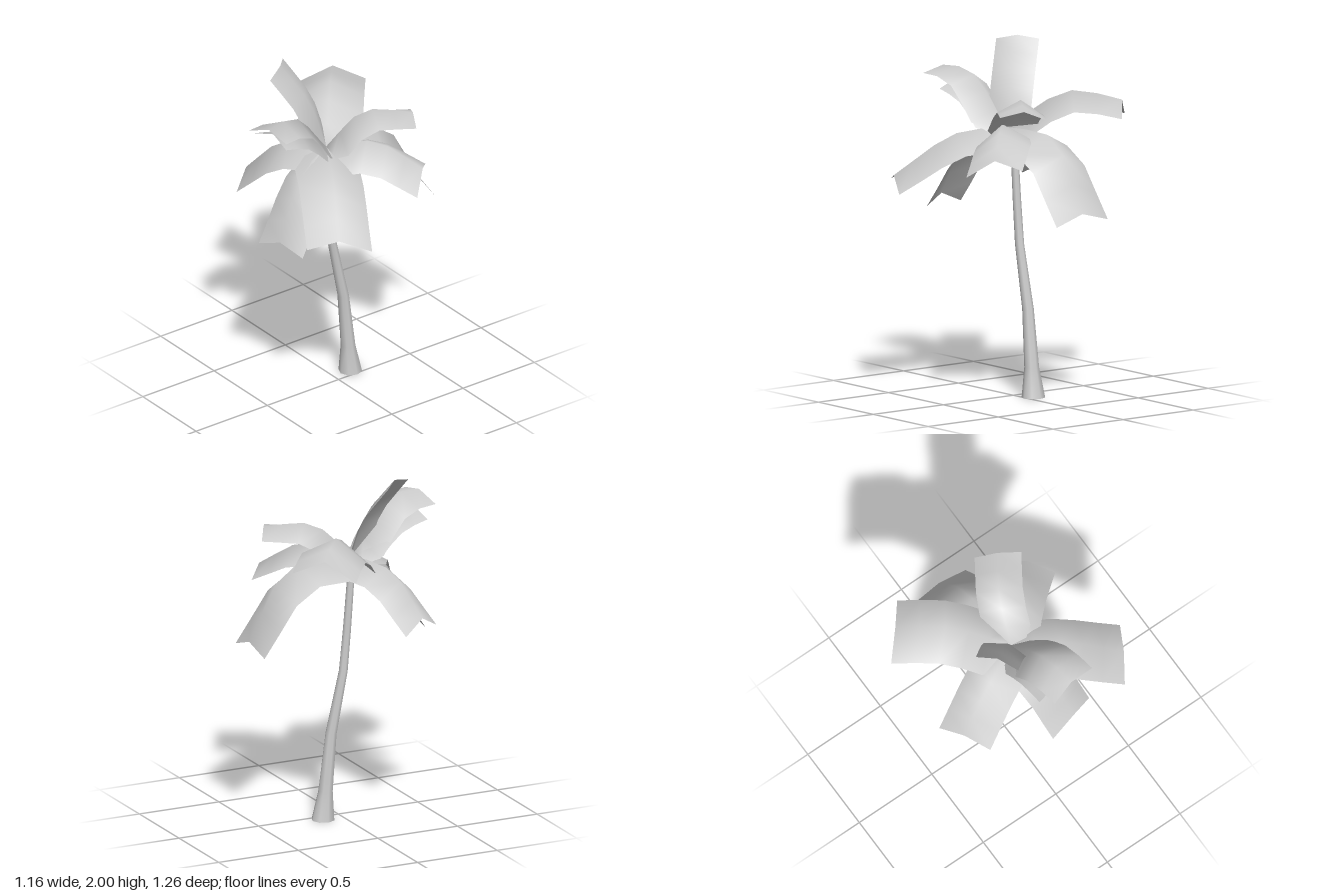
import * as THREE from 'three';
import { mergeVertices } from 'three/addons/utils/BufferGeometryUtils.js';

const grey = new THREE.MeshStandardMaterial({ color: 0xcccccc, side: THREE.DoubleSide });
grey.name = 'light grey';

// Trunk rings from the ground up: [x, y, radius]
const rings = [
  [0.12, 0, 0.067], [0.104, 0.17, 0.042], [0.07, 0.5, 0.033], [-0.007, 0.86, 0.026],
  [-0.03, 1.1, 0.024], [-0.052, 1.38, 0.022], [-0.072, 1.53, 0.02],
];

function makeTrunk() {
  const spans = rings.length - 1;
  let geo = new THREE.CylinderGeometry(1, 1, spans, 8, spans, true);
  // Weld the seam so the shading is smooth all round
  geo.deleteAttribute('uv');
  geo.deleteAttribute('normal');
  geo = mergeVertices(geo);
  const p = geo.attributes.position;
  for (let i = 0; i < p.count; i++) {
    const [x, y, r] = rings[Math.round(p.getY(i) + spans / 2)];
    p.setXYZ(i, x + p.getX(i) * r, y, -0.05 + p.getZ(i) * r);
  }
  geo.computeVertexNormals();
  return new THREE.Mesh(geo, grey);
}

// A frond: a ridge from the crown through mid to tip, with a folded-back blade on each side.
// cornerA and cornerB are the outer corners; fold is how far the blades fall behind the ridge.
const crown = [-0.08, 1.52, -0.01];
function makeFrond({ mid, tip, cornerA, cornerB, fold }) {
  const v = (a) => new THREE.Vector3(...a);
  const ridge = new THREE.CatmullRomCurve3([v(crown), v(mid), v(tip)]);
  const across = v(cornerB).sub(v(cornerA));
  const back = v(tip).sub(v(crown)).cross(across).setLength(fold);
  const blades = [[cornerA, -0.5], [cornerB, 0.5]].map(([corner, side]) => ({
    inner: across.clone().multiplyScalar(side).add(back),
    outer: v(corner).sub(v(tip)),
  }));
  const steps = 5;
  const pos = [], index = [];
  for (let i = 0; i <= steps; i++) {
    const t = i / steps;
    const c = ridge.getPointAt(t);
    const width = i === 0 ? 0.55 : 1;
    const [a, b] = blades.map(({ inner, outer }) =>
      inner.clone().lerp(outer, t * t).multiplyScalar(width).add(c));
    pos.push(...a.toArray(), ...c.toArray(), ...b.toArray());
    if (i < steps) {
      for (const k of [i * 3, i * 3 + 1]) index.push(k, k + 1, k + 3, k + 1, k + 4, k + 3);
    }
  }
  const geo = new THREE.BufferGeometry();
  geo.setAttribute('position', new THREE.Float32BufferAttribute(pos, 3));
  geo.setIndex(index);
  geo.computeVertexNormals();
  return new THREE.Mesh(geo, grey);
}

// Corners run clockwise seen from above, so the blades face upward
const fronds = {
  backLeftFrond: { mid: [0.15, 1.73, -0.28], tip: [0.34, 1.68, -0.51],
    cornerA: [0.205, 1.57, -0.635], cornerB: [0.485, 1.6, -0.395], fold: 0.12 },
  frontLeftUpperFrond: { mid: [0.13, 1.71, 0.06], tip: [0.365, 1.69, 0.21],
    cornerA: [0.43, 1.64, 0.1], cornerB: [0.3, 1.66, 0.33], fold: 0.1 },
  leftDroopingFrond: { mid: [0.33, 1.5, -0.03], tip: [0.58, 1.11, -0.04],
    cornerA: [0.575, 1.06, -0.225], cornerB: [0.575, 1.05, 0.14], fold: 0.12 },
  frontLeftLowerFrond: { mid: [0.12, 1.57, 0.18], tip: [0.31, 1.42, 0.375],
    cornerA: [0.415, 1.365, 0.26], cornerB: [0.19, 1.32, 0.485], fold: 0.12 },
  frontRightFrond: { mid: [-0.22, 1.49, 0.24], tip: [-0.4, 1.26, 0.54],
    cornerA: [-0.235, 1.18, 0.63], cornerB: [-0.55, 1.21, 0.44], fold: 0.1 },
  rightUpperFrond: { mid: [-0.34, 1.81, 0.04], tip: [-0.545, 1.82, 0.075],
    cornerA: [-0.535, 1.79, 0.225], cornerB: [-0.58, 1.765, -0.065], fold: 0.09 },
  rightMiddleFrond: { mid: [-0.3, 1.71, 0.01], tip: [-0.48, 1.75, 0.03],
    cornerA: [-0.48, 1.7, 0.15], cornerB: [-0.505, 1.7, -0.115], fold: 0.08 },
  rightDroopingFrond: { mid: [-0.32, 1.43, 0.07], tip: [-0.5, 1.1, 0.12],
    cornerA: [-0.45, 1.045, 0.265], cornerB: [-0.53, 1.035, -0.04], fold: 0.1 },
  backRightFrond: { mid: [-0.2, 1.48, -0.26], tip: [-0.29, 1.25, -0.48],
    cornerA: [-0.42, 1.17, -0.395], cornerB: [-0.15, 1.18, -0.555], fold: 0.1 },
  uprightFrond: { mid: [-0.13, 1.77, -0.085], tip: [-0.245, 2, -0.22],
    cornerA: [-0.36, 1.97, -0.16], cornerB: [-0.16, 1.98, -0.31], fold: 0.04 },
};

export function createModel() {
  const palm = new THREE.Group();
  palm.name = 'palmTree';
  const trunk = makeTrunk();
  trunk.name = 'trunk';
  palm.add(trunk);
  for (const [name, spec] of Object.entries(fronds)) {
    const frond = makeFrond(spec);
    frond.name = name;
    palm.add(frond);
  }
  return palm;
}
